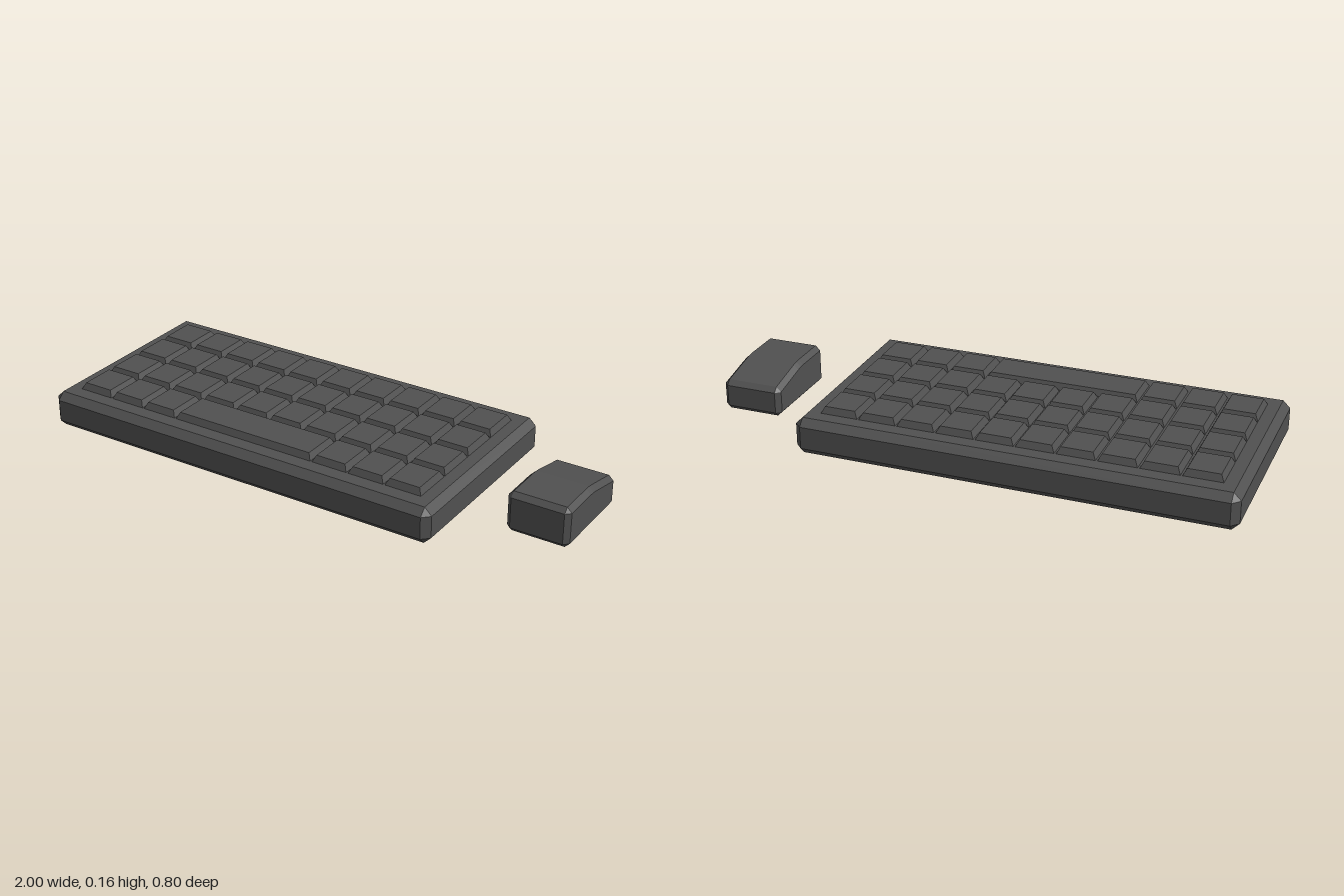
import * as THREE from 'three';
import { ConvexGeometry } from 'three/addons/geometries/ConvexGeometry.js';

const V = (x, y, z) => new THREE.Vector3(x, y, z);
const material = new THREE.MeshStandardMaterial({ color: 0x505050, flatShading: true });

function part(name, points) {
  const mesh = new THREE.Mesh(new ConvexGeometry(points), material);
  mesh.name = name;
  return mesh;
}

// Box with every edge and corner cut off at 45 degrees
function chamferedBox(w, h, d, c) {
  const pts = [];
  for (const i of [-1, 1]) for (const j of [-1, 1]) for (const k of [-1, 1]) {
    const x = w / 2, y = h / 2, z = d / 2;
    pts.push(V(i * x, j * (y - c), k * (z - c)), V(i * (x - c), j * y, k * (z - c)), V(i * (x - c), j * (y - c), k * z));
  }
  return pts;
}

// Keycap tapering towards its top
function keycap(w, d, y0, y1, inset) {
  const pts = [];
  for (const i of [-1, 1]) for (const k of [-1, 1]) {
    pts.push(V(i * w / 2, y0, k * d / 2), V(i * (w / 2 - inset), y1, k * (d / 2 - inset)));
  }
  return pts;
}

// Mouse body: flat at the front, its top sloping down to the back, edges chamfered
function mousePoints() {
  const hw = 0.115, hd = 0.18, c = 0.018, bottom = 0.012;
  const crest = [[0.162, 0.163], [0.02, 0.163], [0, 0.1617], [-0.02, 0.1585], [-0.162, 0.128]];
  const pts = [];
  for (const s of [-1, 1]) {
    for (const [z, y] of crest) {
      pts.push(V(s * (hw - c), y, z), V(s * hw, y - c, z));
    }
    for (const e of [-1, 1]) {
      pts.push(
        V(s * (hw - c), bottom, e * (hd - c)),
        V(s * hw, bottom + c, e * (hd - c)),
        V(s * (hw - c), bottom + c, e * hd),
        V(s * (hw - c), e > 0 ? 0.145 : 0.11, e * hd));
    }
  }
  return pts;
}

export function createModel() {
  const model = new THREE.Group();
  model.name = 'keyboardAndMouse';

  // Keyboard base
  const keyboard = new THREE.Group();
  keyboard.name = 'keyboard';
  keyboard.position.x = -0.2;
  const base = part('keyboardBase', chamferedBox(1.6, 0.137, 0.8, 0.027));
  base.position.y = 0.0685;
  keyboard.add(base);

  // Keys: four rows of ten, with a space bar four keys wide in the front row
  const pitchX = 0.1462, pitchZ = 0.162, gap = 0.005;
  for (let row = 0; row < 4; row++) {
    for (let col = 0; col < 10; col++) {
      const isSpace = row === 3 && col === 3;
      const span = isSpace ? 4 : 1;
      const key = part(isSpace ? 'spaceBar' : 'key', keycap(span * pitchX - gap, pitchZ - gap, 0.135, 0.161, 0.013));
      key.position.set((col + span / 2 - 5) * pitchX, 0, (row - 1.5) * pitchZ);
      keyboard.add(key);
      col += span - 1;
    }
  }
  model.add(keyboard);

  // Mouse
  const mouse = part('mouse', mousePoints());
  mouse.position.x = 0.885;
  model.add(mouse);
  return model;
}
